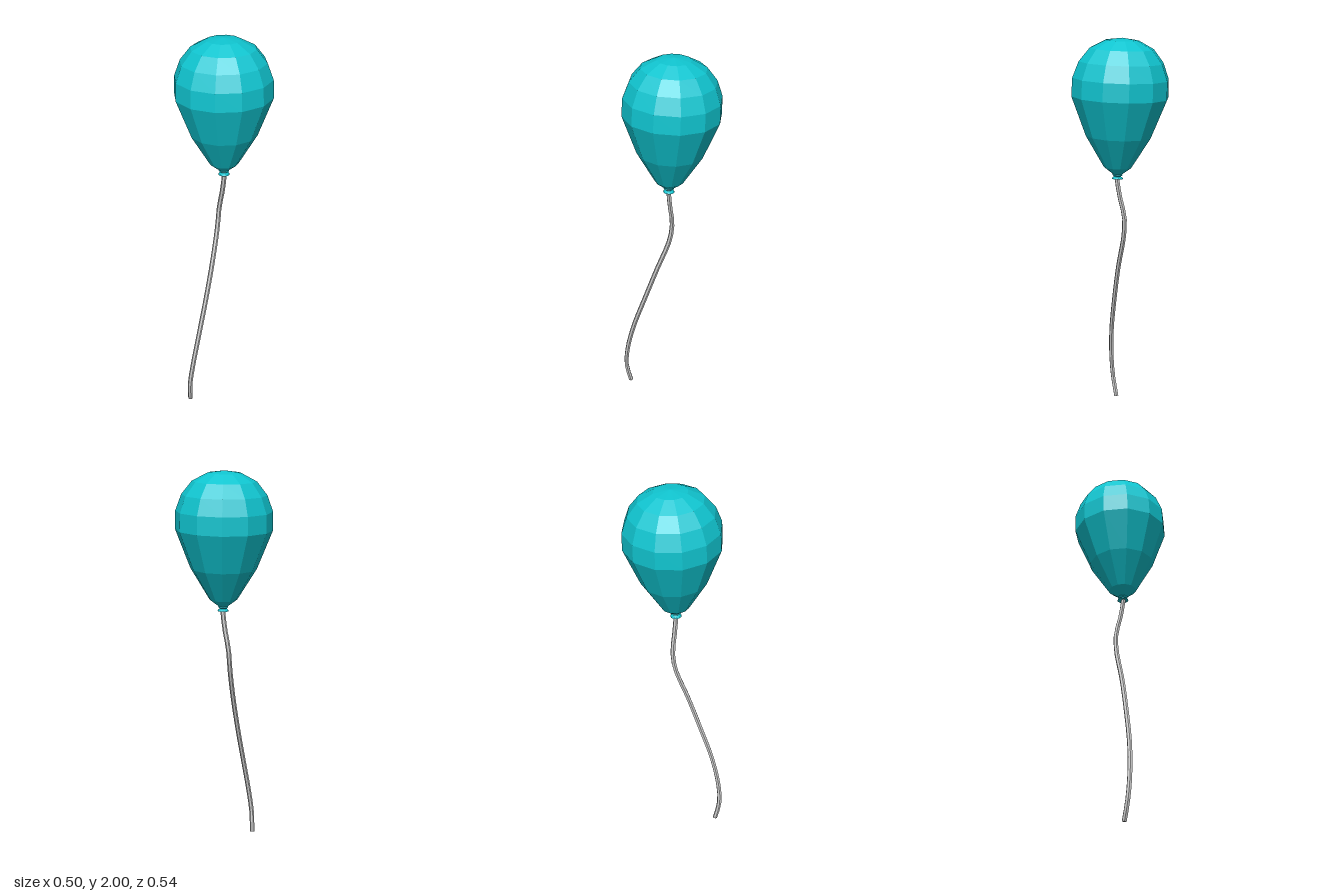
import * as THREE from 'three';

const v2 = (p) => new THREE.Vector2(...p);
const v3 = (p) => new THREE.Vector3(...p);

export function createModel() {
  const model = new THREE.Group();
  model.name = 'balloonOnString';
  const rubber = new THREE.MeshStandardMaterial({ color: 0x10c5d0, flatShading: true });
  const grey = new THREE.MeshStandardMaterial({ color: 0xcccccc, flatShading: true });

  // Balloon pivots at its knot and leans slightly
  const balloon = new THREE.Group();
  balloon.name = 'balloon';
  balloon.position.set(0.01, 1.285, -0.01);
  balloon.rotation.set(-0.028, 0.02, 0.03);
  model.add(balloon);

  const addLathe = (name, profile) => {
    const mesh = new THREE.Mesh(new THREE.LatheGeometry(profile.map(v2), 12), rubber);
    mesh.name = name;
    balloon.add(mesh);
  };

  // Twelve-sided teardrop body: [radius, height above knot]
  addLathe('balloonBody', [
    [0.018, 0.02], [0.072, 0.061], [0.17, 0.222], [0.248, 0.42], [0.246, 0.513],
    [0.216, 0.595], [0.163, 0.662], [0.085, 0.703], [0, 0.715],
  ]);

  // Flared knot under the body
  addLathe('knot', [
    [0, 0.003], [0.029, 0], [0.026, 0.006], [0.016, 0.012], [0.027, 0.02], [0.02, 0.026], [0, 0.028],
  ]);

  // Wavy string hanging from the knot
  const path = new THREE.CatmullRomCurve3([
    [0.013, 1.29, -0.01], [0, 1.2, -0.012], [-0.026, 1.08, -0.014], [-0.025, 0.98, 0],
    [-0.006, 0.8, 0.063], [0.006, 0.6, 0.132], [0.012, 0.4, 0.2], [0.006, 0.23, 0.242],
    [-0.005, 0.11, 0.254], [-0.02, 0.004, 0.236],
  ].map(v3));
  const radius = 0.0125;
  const string = new THREE.Mesh(new THREE.TubeGeometry(path, 24, radius, 6, false), grey);
  string.name = 'string';
  model.add(string);

  // Cap closing the loose end
  const cap = new THREE.Mesh(new THREE.CircleGeometry(radius, 6), grey);
  cap.name = 'stringEnd';
  cap.position.copy(path.getPoint(1));
  cap.lookAt(path.getPoint(1).add(path.getTangent(1)));
  model.add(cap);

  return model;
}
